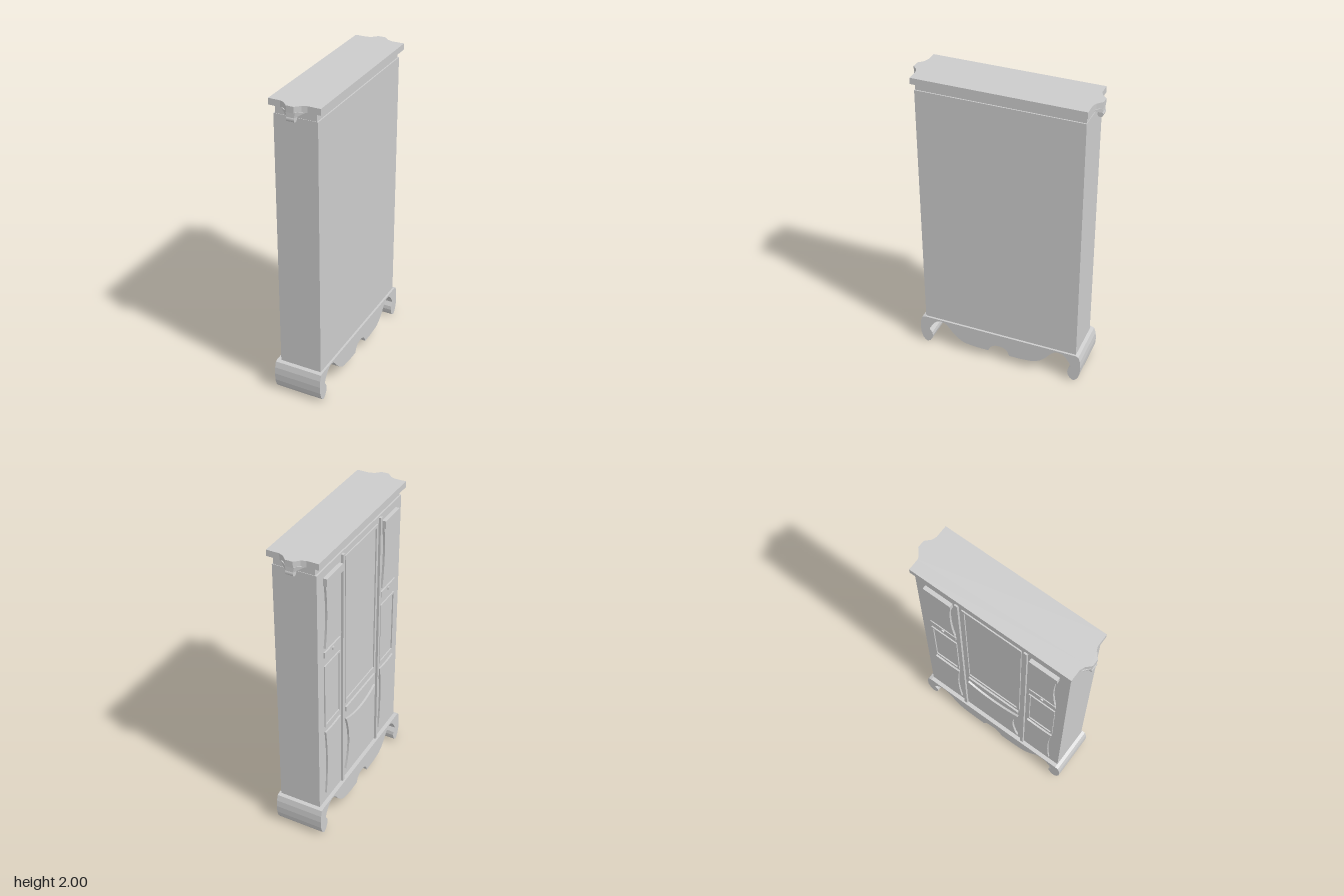
import * as THREE from 'three';
import { ConvexGeometry } from 'three/addons/geometries/ConvexGeometry.js';

const FACE = -0.137; // door face of the cabinet, looking toward -x

export function createModel() {
  const model = new THREE.Group();
  const material = new THREE.MeshStandardMaterial({ color: 0xcccccc });
  const flat = material.clone();
  flat.flatShading = true;

  const add = (name, geometry, mat = material) => {
    const mesh = new THREE.Mesh(geometry, mat);
    mesh.name = name;
    model.add(mesh);
    return mesh;
  };
  const box = (name, x0, x1, y0, y1, z0, z1) => {
    add(name, new THREE.BoxGeometry(x1 - x0, y1 - y0, z1 - z0))
      .position.set((x0 + x1) / 2, (y0 + y1) / 2, (z0 + z1) / 2);
  };
  const polygon = (pts) => new THREE.Shape(pts.map((p) => new THREE.Vector2(p[0], p[1])));
  // Extrudes a (z, y) outline from x toward -x
  const slab = (name, shape, x, depth) => {
    const g = new THREE.ExtrudeGeometry(shape, { depth, bevelEnabled: false, curveSegments: 8 });
    g.rotateY(-Math.PI / 2);
    add(name, g).position.x = x;
  };
  // Rectangle whose four edges bow inward (sideways dz, vertically dy)
  const bowed = (z0, z1, y0, y1, dz, dy) => {
    const zc = (z0 + z1) / 2, yc = (y0 + y1) / 2;
    const s = new THREE.Shape();
    s.moveTo(z0, y0);
    s.quadraticCurveTo(zc, y0 + 2 * dy, z1, y0);
    s.quadraticCurveTo(z1 - 2 * dz, yc, z1, y1);
    s.quadraticCurveTo(zc, y1 - 2 * dy, z0, y1);
    s.quadraticCurveTo(z0 + 2 * dz, yc, z0, y0);
    return s;
  };
  const rect = (z0, z1, y0, y1) => polygon([[z0, y0], [z1, y0], [z1, y1], [z0, y1]]);
  const frame = (name, z0, z1, y0, y1, w) => {
    const s = rect(z0, z1, y0, y1);
    s.holes.push(rect(z0 + w, z1 - w, y0 + w, y1 - w));
    slab(name, s, FACE, 0.008);
  };

  // Cabinet body and recessed neck
  box('cabinetBody', FACE, 0.143, 0.2, 1.91, -0.53, 0.53);
  box('neck', -0.127, 0.135, 1.9, 1.965, -0.527, 0.527);

  // Scrolled base: half outline mirrored about z = 0
  const half = [
    [0.53, 0.21], [0.552, 0.203], [0.564, 0.165], [0.568, 0.12], [0.565, 0.07], [0.553, 0.03],
    [0.537, 0.008], [0.52, 0], [0.5, 0.012], [0.486, 0.035], [0.48, 0.06], [0.484, 0.085],
    [0.503, 0.112], [0.49, 0.14], [0.465, 0.175], [0.44, 0.195], [0.415, 0.2], [0.39, 0.195],
    [0.365, 0.175], [0.33, 0.13], [0.295, 0.097], [0.26, 0.075], [0.23, 0.067], [0.15, 0.06],
    [0.075, 0.06], [0.062, 0.09], [0.045, 0.108], [0.02, 0.118],
  ];
  const mirrored = half.map(([z, y]) => [-z, y]).reverse();
  slab('scrolledBase', polygon([...half, ...mirrored]), 0.157, 0.321);

  // Cornice slab with a bulge at each end
  const bulge = [[0.168, 0.543], [0.085, 0.543], [0.055, 0.555], [0.035, 0.575], [0.024, 0.586],
    [-0.024, 0.586], [-0.035, 0.575], [-0.055, 0.555], [-0.085, 0.543], [-0.16, 0.543]];
  const top = new THREE.ExtrudeGeometry(
    polygon([...bulge, ...bulge.map(([x, z]) => [x, -z]).reverse()]),
    { depth: 0.04, bevelEnabled: false });
  top.rotateX(Math.PI / 2);
  add('cornice', top).position.y = 2;

  // Tapered brackets and curls hanging under the cornice ends
  for (const s of [-1, 1]) {
    const pts = [];
    for (const m of [-1, 1]) {
      for (const [x, y, z] of [[0.085, 1.965, 0.54], [0.03, 1.965, 0.582],
        [0.022, 1.93, 0.558], [0.022, 1.93, 0.584]]) {
        pts.push(new THREE.Vector3(m * x, y, s * z));
      }
    }
    add('corniceBracket', new ConvexGeometry(pts), flat);
    const curl = new THREE.CylinderGeometry(0.018, 0.018, 0.05, 10);
    curl.rotateZ(Math.PI / 2);
    add('bracketCurl', curl).position.set(0, 1.92, s * 0.57);
  }

  // Side columns of panels
  for (const s of [-1, 1]) {
    const [z0, z1] = [0.27, 0.46].map((z) => z * s).sort((a, b) => a - b);
    box('doorDivider', FACE - 0.015, FACE + 0.01, 0.21, 1.9, s * 0.237 - 0.011, s * 0.237 + 0.011);
    slab('upperCarvedPanel', bowed(z0, z1, 1.39, 1.86, 0.022, 0.006), FACE, 0.014);
    box('upperPanelBar', FACE - 0.026, FACE + 0.01, 1.81, 1.86, z0, z1);
    box('railBar', FACE - 0.01, FACE + 0.01, 1.32, 1.36, z0, z1);
    const knob = new THREE.CylinderGeometry(0.012, 0.012, 0.024, 10);
    knob.rotateZ(Math.PI / 2);
    add('knob', knob).position.set(FACE - 0.006, 1.34, (z0 + z1) / 2);
    frame('middlePanelFrame', z0, z1, 0.81, 1.26, 0.012);
    slab('lowerCarvedPanel', bowed(z0, z1, 0.28, 0.77, 0.018, 0.006), FACE, 0.012);
  }

  // Central door
  frame('centerPanelFrame', -0.205, 0.205, 0.82, 1.87, 0.018);
  box('centerRail', FACE - 0.012, FACE + 0.01, 0.745, 0.78, -0.195, 0.195);
  slab('centerCarvedPanel', bowed(-0.2, 0.2, 0.28, 0.69, 0.04, 0.04), FACE, 0.014);
  return model;
}
